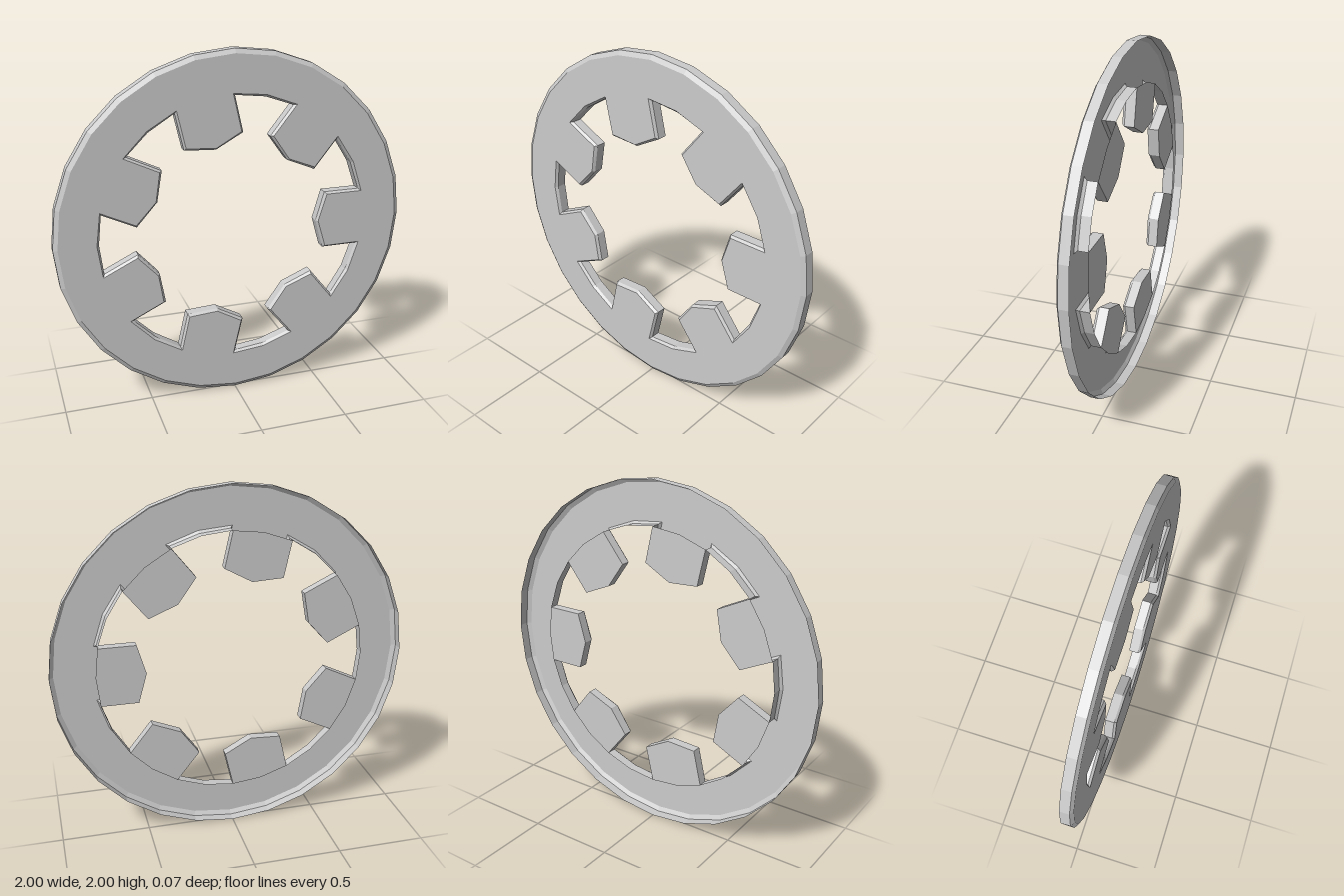
import * as THREE from 'three';

const TEETH = 7, SIDES = 28;
const BACK = -0.035, MID = 0.02, FRONT = 0.035;
const polar = (r, a) => new THREE.Vector2(r * Math.cos(a), r * Math.sin(a));
const STEP = (Math.PI * 2) / SIDES;

// Outer rim outline, counter-clockwise
const rimLoop = (r) => Array.from({ length: SIDES }, (_, i) => polar(r, i * STEP));

// One tooth pointing at the centre; inset shrinks it for the bevelled front edge
function toothPoints(angle, inset) {
  const half = 0.168 - inset, root = Math.sqrt(0.757 ** 2 - 0.168 ** 2) + inset * 1.3;
  return [[root, -half], [0.53 + inset, -half], [0.482 + inset, 0], [0.53 + inset, half], [root, half]]
    .map(([x, y]) => new THREE.Vector2(x, y).rotateAround(new THREE.Vector2(), angle));
}

// Inner outline: teeth with a two-segment gap between each pair
function innerLoop(inset) {
  const pts = [];
  for (let i = 0; i < TEETH; i++) {
    const a = (i * Math.PI * 2) / TEETH;
    pts.push(...toothPoints(a, inset), polar(0.757 + inset * 1.2, a + 2 * STEP));
  }
  return pts;
}

// Wall joining two matching loops at different depths
function wall(back, zBack, front, zFront, inward) {
  const pos = [];
  back.forEach((p, i) => {
    const j = (i + 1) % back.length;
    const a = [p.x, p.y, zBack], b = [back[j].x, back[j].y, zBack];
    const c = [front[j].x, front[j].y, zFront], d = [front[i].x, front[i].y, zFront];
    const quad = inward ? [a, c, b, a, d, c] : [a, b, c, a, c, d];
    quad.forEach((v) => pos.push(...v));
  });
  const g = new THREE.BufferGeometry();
  g.setAttribute('position', new THREE.Float32BufferAttribute(pos, 3));
  g.computeVertexNormals();
  return g;
}

export function createModel() {
  const group = new THREE.Group();
  group.name = 'toothedLockWasher';
  const material = new THREE.MeshStandardMaterial({
    color: 0xcccccc, flatShading: true, side: THREE.DoubleSide,
  });
  const add = (name, geometry) => {
    const mesh = new THREE.Mesh(geometry, material);
    mesh.name = name;
    mesh.position.y = 1;
    group.add(mesh);
  };

  const rim = rimLoop(1), rimFront = rimLoop(0.976);
  const inner = innerLoop(0), innerFront = innerLoop(0.011);

  // Front plate with the toothed opening
  const face = new THREE.Shape(rimFront);
  face.holes.push(new THREE.Path(innerFront));
  add('frontFace', new THREE.ShapeGeometry(face).translate(0, 0, FRONT));

  // Straight walls and front bevels; the ring itself is hollow behind
  add('outerWall', wall(rim, BACK, rim, MID, false));
  add('outerBevel', wall(rim, MID, rimFront, FRONT, false));
  add('innerWall', wall(inner, BACK, inner, MID, true));
  add('innerBevel', wall(inner, MID, innerFront, FRONT, true));

  // Closed backs of the teeth, ending at the ring's inner circle
  for (let i = 0; i < TEETH; i++) {
    const a = (i * Math.PI * 2) / TEETH;
    const shape = new THREE.Shape([...toothPoints(a, 0), polar(0.757, a)]);
    const g = new THREE.ShapeGeometry(shape);
    g.rotateY(Math.PI).scale(-1, 1, 1); // mirrored twice: outline unchanged
    const idx = g.index.array; // turn the faces to the rear
    for (let k = 0; k < idx.length; k += 3) [idx[k], idx[k + 1]] = [idx[k + 1], idx[k]];
    g.computeVertexNormals();
    add('toothBack', g.translate(0, 0, BACK));
  }
  return group;
}
